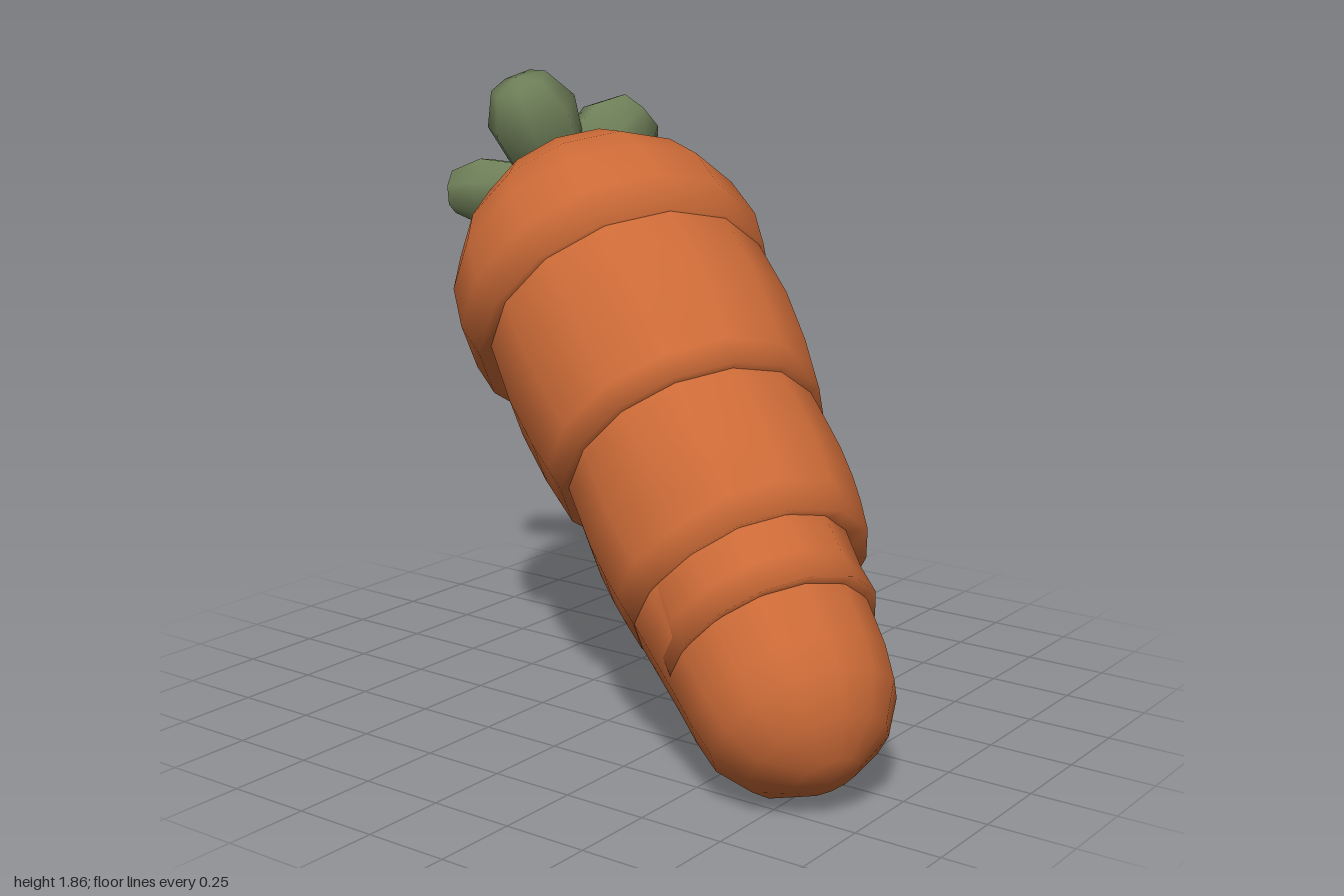
import * as THREE from 'three';
import { mergeVertices } from 'three/addons/utils/BufferGeometryUtils.js';

const SIDES = 14;

// Smooth lathe from [height, radius] pairs, with optional vertex rule
function lathe(profile, sides, rule) {
  let g = new THREE.LatheGeometry(profile.map(([t, r]) => new THREE.Vector2(r, t)), sides);
  g.deleteAttribute('uv');
  g.deleteAttribute('normal');
  g = mergeVertices(g, 1e-4);
  const p = g.attributes.position;
  const v = new THREE.Vector3();
  if (rule) {
    for (let i = 0; i < p.count; i++) {
      rule(v.fromBufferAttribute(p, i));
      p.setXYZ(i, v.x, v.y, v.z);
    }
  }
  g.computeVertexNormals();
  return g;
}

// Hollows just above the rims: [x, height, z, depth] in the root's own frame
const DENTS = [
  [0.28, 0.9, -0.32, 0.07], [-0.2, 0.98, 0.36, 0.02],
  [0.36, 0.45, -0.08, 0.05], [0.18, 0.43, -0.3, 0.05], [-0.28, 0.45, 0.22, 0.025],
  [0.3, 0.24, 0.08, 0.035],
];

function dent(v) {
  const r = Math.hypot(v.x, v.z);
  if (r < 0.01) return;
  let push = 0;
  for (const [x, t, z, depth] of DENTS) {
    const d2 = (v.x - x) ** 2 + (v.y - t) ** 2 + (v.z - z) ** 2;
    push += depth * Math.exp(-d2 / 0.015);
  }
  v.x *= 1 - push / r;
  v.z *= 1 - push / r;
}

export function createModel() {
  const orange = new THREE.MeshStandardMaterial({ color: 0xcb6a37 });
  orange.name = 'carrotOrange';
  const green = new THREE.MeshStandardMaterial({ color: 0x6f8059 });
  green.name = 'leafGreen';

  const model = new THREE.Group();
  model.name = 'carrot';

  // Root: stacked sleeves along a slanted axis, local z on the upper side
  const root = new THREE.Group();
  root.name = 'root';
  const axis = new THREE.Vector3(0.367, 0.62, -0.693).normalize();
  const upper = new THREE.Vector3(0, 1, 0).addScaledVector(axis, -axis.y).normalize();
  const side = new THREE.Vector3().crossVectors(axis, upper);
  root.quaternion.setFromRotationMatrix(new THREE.Matrix4().makeBasis(side, axis, upper));
  root.position.set(-0.38, 0.28, 0.72);
  model.add(root);

  // Each sleeve starts at its overhanging rim; shift is [side, upper]
  const sleeves = [
    { name: 'tip', shift: [0, 0], profile: [[-0.28, 0], [-0.262, 0.09], [-0.2, 0.2], [-0.1, 0.268], [0, 0.287], [0.1, 0.297], [0.25, 0.316], [0.4, 0.335]] },
    { name: 'lowerSleeve', shift: [0, 0.042], profile: [[0.135, 0.308], [0.22, 0.308], [0.3, 0.31], [0.4, 0.31]] },
    { name: 'middleSleeve', shift: [0.022, 0.02], profile: [[0.33, 0.358], [0.42, 0.372], [0.5, 0.382], [0.6, 0.388], [0.7, 0.386], [0.78, 0.384], [0.86, 0.38]] },
    { name: 'upperSleeve', shift: [0.018, 0.03], profile: [[0.8, 0.407], [0.88, 0.42], [0.97, 0.435], [1.15, 0.45], [1.4, 0.44]] },
    { name: 'shoulder', shift: [0.01, 0.015], profile: [[1.35, 0.47], [1.47, 0.49], [1.62, 0.47], [1.74, 0.412], [1.86, 0.312], [1.93, 0.18], [1.97, 0]] },
  ];
  for (const { name, shift, profile } of sleeves) {
    const [t, r] = profile[0];
    // A short tucked-in edge rounds the underside of the rim
    const outline = r > 0 ? [[t + 0.02, r - 0.08], ...profile] : profile;
    const sleeve = new THREE.Mesh(lathe(outline, SIDES, dent), orange);
    sleeve.name = name;
    sleeve.position.set(shift[0], 0, shift[1]);
    root.add(sleeve);
  }

  // Leaves: blunt bulbs fanning out of the crown, [tip, radius]
  const crown = new THREE.Vector3(0.33, 1.47, -0.62);
  const bulb = [[0, 0], [0, 0.62], [0.35, 0.85], [0.68, 1], [0.95, 0.62], [1, 0]];
  const leaves = [
    [[0.15, 1.84, -0.66], 0.15],
    [[0.58, 1.72, -0.49], 0.15],
    [[0.2, 1.46, -0.99], 0.115],
    [[0.43, 1.69, -0.88], 0.105],
    [[0.61, 1.36, -0.82], 0.125],
  ];
  const foliage = new THREE.Group();
  foliage.name = 'leaves';
  for (const [tip, radius] of leaves) {
    const dir = new THREE.Vector3(...tip).sub(crown);
    const length = dir.length();
    const leaf = new THREE.Mesh(lathe(bulb.map(([t, r]) => [t * length, r * radius]), 7), green);
    leaf.name = 'leaf';
    leaf.position.copy(crown);
    leaf.quaternion.setFromUnitVectors(new THREE.Vector3(0, 1, 0), dir.normalize());
    foliage.add(leaf);
  }
  model.add(foliage);
  return model;
}
